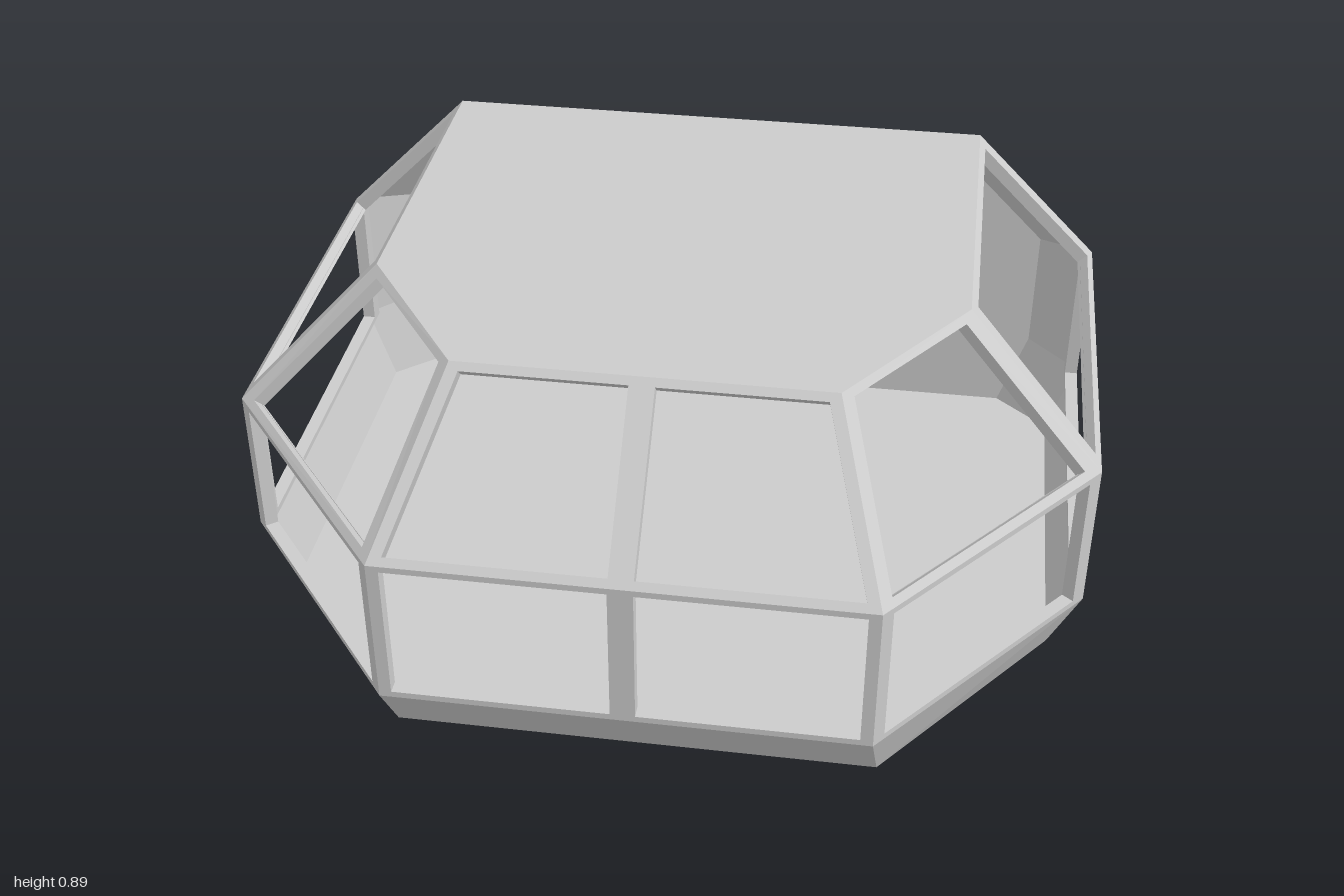
import * as THREE from 'three';

const V = (x, y, z) => new THREE.Vector3(x, y, z);
const material = new THREE.MeshStandardMaterial({ color: 0xcccccc, flatShading: true, side: THREE.DoubleSide });
const CENTER = V(0, 0.4, 0);
const DEPTH = 0.032; // how far window frames reach inward

// Horizontal outlines of the +x half: front corner, side corner, rear corner
const outline = {
  floor: [V(0.555, 0, 0.69), V(0.935, 0, 0.2), V(0.935, 0, -0.71)],
  sill: [V(0.545, 0.2, 0.83), V(1, 0.2, 0.27), V(1, 0.2, -0.71)],
  belt: [V(0.545, 0.57, 0.83), V(1, 0.57, 0.27), V(1, 0.57, -0.71)],
  roof: [V(0.42, 0.89, 0.51), V(0.68, 0.89, 0.14), V(0.68, 0.89, -0.71)],
};
// Rear wall corners of the +x half, bottom to top
const rear = [V(0.8, 0, -0.83), V(0.87, 0.21, -0.83), V(0.87, 0.53, -0.83), V(0.63, 0.77, -0.83)];

const flip = (p) => V(-p.x, p.y, p.z);
// Full closed loop from a half outline
const loop = (half) => [...half, ...half.map(flip).reverse()];

function outwardNormal(pts) {
  const n = pts[2].clone().sub(pts[0]).cross(pts[pts.length - 1].clone().sub(pts[1])).normalize();
  const mid = pts.reduce((s, p) => s.add(p), V(0, 0, 0)).divideScalar(pts.length);
  return n.dot(mid.sub(CENTER)) < 0 ? n.negate() : n;
}

// Triangle fan over a convex polygon, wound so that it faces along n
function fan(pts, n) {
  const turn = pts[1].clone().sub(pts[0]).cross(pts[2].clone().sub(pts[0])).dot(n);
  const p = turn < 0 ? [...pts].reverse() : pts;
  const out = [];
  for (let i = 1; i < p.length - 1; i++) out.push(p[0], p[i], p[i + 1]);
  return out;
}

function addMesh(group, name, triangles) {
  const geometry = new THREE.BufferGeometry().setFromPoints(triangles);
  geometry.computeVertexNormals();
  const mesh = new THREE.Mesh(geometry, material);
  mesh.name = name;
  group.add(mesh);
}

const addPanel = (group, name, pts) => addMesh(group, name, fan(pts, outwardNormal(pts)));

// Four-sided frame a, b (bottom), c, d (top) with an opening; left/right are pillar widths
function addFrame(group, name, [a, b, c, d], left, right, rail = 0.015) {
  const outer = [a, b, c, d];
  const n = outwardNormal(outer);
  const v = rail / (c.y - b.y);
  const at = (u, w) => a.clone().lerp(b, u).lerp(d.clone().lerp(c, u), w);
  const low = a.distanceTo(b), high = d.distanceTo(c);
  const hole = [at(left / low, v), at(1 - right / low, v), at(1 - right / high, 1 - v), at(left / high, 1 - v)];
  const inward = (p) => p.clone().addScaledVector(n, -DEPTH);
  const mid = at(0.5, 0.5);
  const tris = [];
  for (let i = 0; i < 4; i++) {
    const j = (i + 1) % 4;
    const front = [outer[i], outer[j], hole[j], hole[i]];
    tris.push(...fan(front, n));
    tris.push(...fan(front.map(inward), n.clone().negate()));
    // Reveal around the opening
    const toMid = mid.clone().sub(hole[i].clone().lerp(hole[j], 0.5));
    tris.push(...fan([hole[i], hole[j], inward(hole[j]), inward(hole[i])], toMid));
  }
  addMesh(group, name, tris);
}

export function createModel() {
  const model = new THREE.Group();
  model.name = 'cabin';
  const { floor, sill, belt, roof } = outline;

  // Flat closed surfaces
  addPanel(model, 'floor', loop([...floor, rear[0]]));
  addPanel(model, 'roof', loop(roof));
  addPanel(model, 'rearWall', loop(rear));
  addPanel(model, 'rearRoofChamfer', [roof[2], rear[3], flip(rear[3]), flip(roof[2])]);
  addPanel(model, 'frontSkirt', [floor[0], sill[0], flip(sill[0]), flip(floor[0])]);

  // Mirrored halves
  for (const [side, m] of [['left', (p) => p], ['right', flip]]) {
    const half = new THREE.Group();
    half.name = side + 'Half';
    model.add(half);
    const quad = (...pts) => pts.map(m);

    // Skirt below the windows
    addPanel(half, 'cornerSkirt', quad(floor[0], floor[1], sill[1], sill[0]));
    addPanel(half, 'sideSkirt', quad(floor[1], floor[2], sill[2], sill[1]));

    // Chamfers leading to the rear wall
    const edge = [floor[2], sill[2], belt[2], roof[2]];
    for (let i = 0; i < 3; i++) {
      addPanel(half, 'rearChamfer' + (i + 1), quad(edge[i], edge[i + 1], rear[i + 1], rear[i]));
    }

    // Lower and upper window bands
    for (const [level, lo, hi] of [['lower', sill, belt], ['upper', belt, roof]]) {
      const centre = (p) => V(0, p.y, p.z);
      addFrame(half, level + 'FrontWindowFrame', quad(centre(lo[0]), lo[0], hi[0], centre(hi[0])), 0.028, 0.028);
      addFrame(half, level + 'CornerWindowFrame', quad(lo[0], lo[1], hi[1], hi[0]), 0.035, 0.04);
      addFrame(half, level + 'SideWindowFrame', quad(lo[1], lo[2], hi[2], hi[1]), 0.042, 0.045);
    }
  }
  return model;
}
